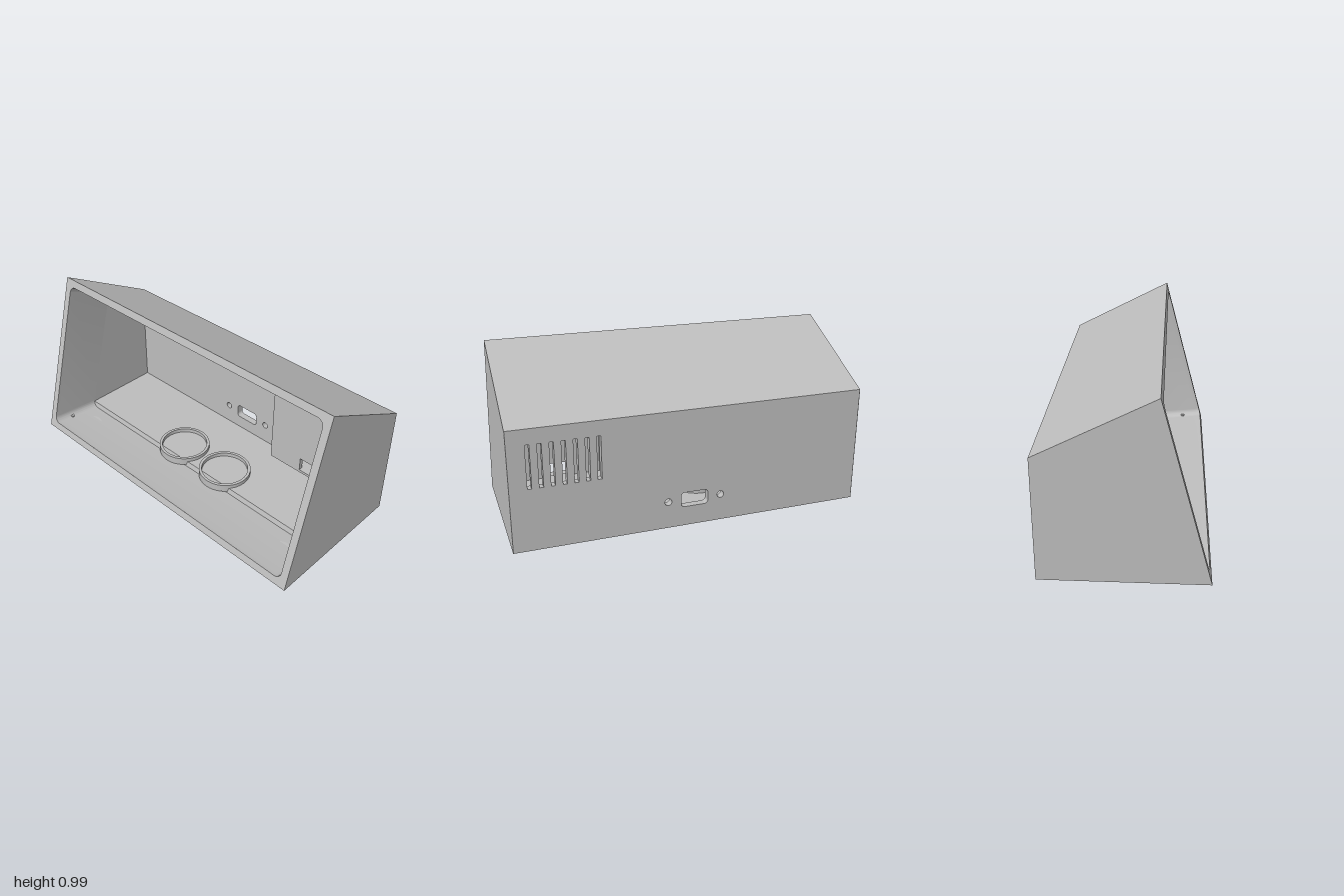
import * as THREE from 'three';
import { toCreasedNormals } from 'three/addons/utils/BufferGeometryUtils.js';

const grey = new THREE.MeshStandardMaterial({ color: 0xbdbdbd, side: THREE.DoubleSide });
grey.name = 'grey plastic';

const HALF = 0.957;          // inner half width
const BACK = -0.392;         // inner face of the back wall
const FLOOR = 0.034;

// Side outlines as [z, y]
const outer = [[0.435, 0], [0.17, 0.985], [-0.435, 0.675], [-0.435, 0]];
const cavity = [[0.105, 0.003], [0.096, FLOOR], [BACK, FLOOR], [BACK, 0.652], [-0.106, 0.797], [-0.112, 0.822]];

function roundRect(path, x0, y0, x1, y1, r) {
  path.absarc(x1 - r, y0 + r, r, -Math.PI / 2, 0);
  path.absarc(x1 - r, y1 - r, r, 0, Math.PI / 2);
  path.absarc(x0 + r, y1 - r, r, Math.PI / 2, Math.PI);
  path.absarc(x0 + r, y0 + r, r, Math.PI, Math.PI * 1.5);
  path.closePath();
  return path;
}

function polygon(points) {
  return new THREE.Shape(points.map(([a, b]) => new THREE.Vector2(a, b)));
}

const rect = (x0, y0, x1, y1) => polygon([[x0, y0], [x1, y0], [x1, y1], [x0, y1]]);
const circle = (x, y, r) => new THREE.Path().absarc(x, y, r, 0, Math.PI * 2);
const extrude = (shape, depth) =>
  new THREE.ExtrudeGeometry(shape, { depth, bevelEnabled: false, curveSegments: 24 });

function fromTriangles(positions) {
  const g = new THREE.BufferGeometry();
  g.setAttribute('position', new THREE.Float32BufferAttribute(positions, 3));
  g.computeVertexNormals();
  return g;
}

// Sweeps a [z, y] line straight across the width
function strip(profile, half) {
  const p = [];
  for (let i = 0; i < profile.length - 1; i++) {
    const [z0, y0] = profile[i], [z1, y1] = profile[i + 1];
    p.push(-half, y0, z0, half, y0, z0, half, y1, z1);
    p.push(-half, y0, z0, half, y1, z1, -half, y1, z1);
  }
  return fromTriangles(p);
}

// Joins rounded rectangles, each given by its lower and upper [z, y] edge
function loft(sections, r) {
  const loops = sections.map(([a, b]) => {
    const len = Math.hypot(b[0] - a[0], b[1] - a[1]);
    return roundRect(new THREE.Path(), -HALF, 0, HALF, len, r).getPoints(8).map((q) => {
      const t = q.y / len;
      return [q.x, a[1] + (b[1] - a[1]) * t, a[0] + (b[0] - a[0]) * t];
    });
  });
  const p = [];
  for (let k = 0; k < loops.length - 1; k++) {
    const A = loops[k], B = loops[k + 1], n = A.length;
    for (let i = 0; i < n; i++) {
      const j = (i + 1) % n;
      p.push(...A[i], ...B[j], ...A[j], ...A[i], ...B[i], ...B[j]);
    }
  }
  return toCreasedNormals(fromTriangles(p), 0.5);
}

export function createModel() {
  const model = new THREE.Group();
  const add = (name, geometry, x = 0, y = 0, z = 0) => {
    const mesh = new THREE.Mesh(geometry, grey);
    mesh.name = name;
    mesh.position.set(x, y, z);
    model.add(mesh);
    return mesh;
  };

  // Outer and inner side walls
  for (const side of [-1, 1]) {
    add('outerSide', new THREE.ShapeGeometry(polygon(outer)).rotateY(-Math.PI / 2), side);
    add('innerSide', new THREE.ShapeGeometry(polygon(cavity)).rotateY(-Math.PI / 2), side * HALF);
  }

  // Sloping roof, and the floor and ceiling of the cavity
  add('roof', strip([outer[1], outer[2]], 1));
  add('cavityFloor', strip(cavity.slice(0, 3), HALF));
  add('cavityCeiling', strip(cavity.slice(3), HALF));

  // Tilted front frame
  const tilt = Math.atan2(0.265, 0.985);
  const frame = rect(-1, 0, 1, 0.985 / Math.cos(tilt));
  frame.holes.push(roundRect(new THREE.Path(), -HALF, 0.043 / Math.cos(tilt), HALF, 0.942 / Math.cos(tilt), 0.04));
  add('frontFrame', new THREE.ShapeGeometry(frame, 8).rotateX(-tilt), 0, 0, 0.435);

  // Screen pocket running back from the frame
  add('screenPocket', loft([
    [[0.4234, 0.043], [0.1816, 0.942]],
    [[0.395, 0.0355], [0.153, 0.933]],
    [cavity[0], cavity[5]],
  ], 0.04));

  // Back wall with socket, screw holes and vents
  const back = rect(-0.999, 0, 0.999, 0.675);
  back.holes.push(roundRect(new THREE.Path(), -0.078, 0.113, 0.078, 0.198, 0.02));
  for (const x of [-0.153, 0.153]) back.holes.push(circle(x, 0.155, 0.02));
  for (let i = 0; i < 7; i++) {
    const x = 0.894 - i * 0.061;
    back.holes.push(rect(x - 0.011, 0.35, x + 0.011, 0.59));
  }
  add('backWall', extrude(back, 0.043), 0, 0, -0.435);

  // Underside with four round recesses for feet
  const base = rect(-1, -0.435, 1, 0.435);
  for (const x of [-0.81, 0.81]) {
    for (const z of [-0.29, 0.237]) {
      base.holes.push(circle(x, z, 0.06));
      add('footRecessWall', new THREE.CylinderGeometry(0.06, 0.06, 0.013, 32, 1, true), x, 0.0065, z);
      add('footRecessTop', new THREE.CircleGeometry(0.06, 32).rotateX(Math.PI / 2), x, 0.013, z);
    }
  }
  add('underside', new THREE.ShapeGeometry(base, 24).rotateX(Math.PI / 2));

  // Two rings standing on the floor, and small pegs near the front corners
  for (const side of [-1, 1]) {
    const ring = new THREE.Shape().absarc(0, 0, 0.157, 0, Math.PI * 2);
    ring.holes.push(circle(0, 0, 0.14));
    add('floorRing', toCreasedNormals(extrude(ring, 0.046).rotateX(-Math.PI / 2), 0.6), side * 0.173, 0.012, 0);
    add('cornerPeg', new THREE.CylinderGeometry(0.012, 0.012, 0.016, 16), side * 0.937, 0.026, 0.3);
  }

  // Closed chamber in front of the vents, with a cable opening
  const plate = rect(0.432, 0.247, HALF, 0.797);
  plate.holes.push(rect(0.64, 0.263, 0.775, 0.343));
  add('chamberFront', extrude(plate, 0.025), 0, 0, -0.135);
  const cheek = polygon([[BACK, 0.247], [-0.112, 0.247], [-0.112, 0.796], [BACK, 0.654]]);
  add('chamberSide', extrude(cheek, 0.025).rotateY(-Math.PI / 2), 0.457);
  add('chamberBottom', new THREE.BoxGeometry(HALF - 0.434, 0.015, -0.112 - BACK),
    (HALF + 0.434) / 2, 0.2555, (BACK - 0.112) / 2);

  return model;
}
